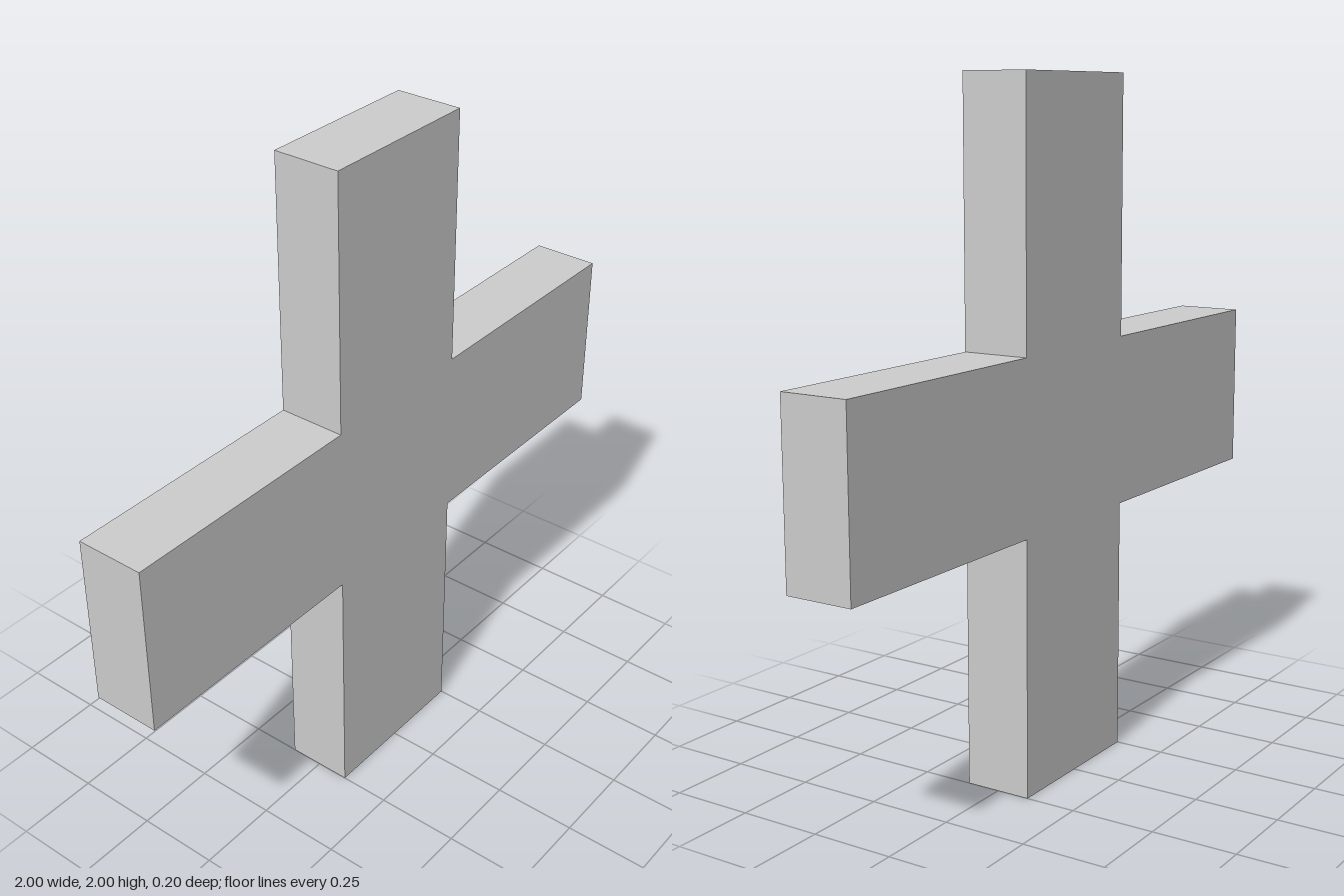
import * as THREE from 'three';

const REACH = 1;        // centre to the end of each arm
const HALF_WIDTH = 0.25; // half the width of an arm
const DEPTH = 0.2;

export function createModel() {
  const group = new THREE.Group();
  group.name = 'plusSign';

  // Outline: the same three corners turned a quarter for each arm
  const corners = [
    [HALF_WIDTH, -HALF_WIDTH],
    [REACH, -HALF_WIDTH],
    [REACH, HALF_WIDTH],
  ];
  const points = [];
  for (let arm = 0; arm < 4; arm++) {
    for (const [x, y] of corners) {
      points.push(new THREE.Vector2(x, y).rotateAround(new THREE.Vector2(), arm * Math.PI / 2));
    }
  }

  // One solid plate, centred in depth and standing on the ground
  const geometry = new THREE.ExtrudeGeometry(new THREE.Shape(points), { depth: DEPTH, bevelEnabled: false });
  geometry.translate(0, REACH, -DEPTH / 2);

  const cross = new THREE.Mesh(geometry, new THREE.MeshStandardMaterial({ color: 0xcccccc, flatShading: true }));
  cross.name = 'crossPlate';
  group.add(cross);
  return group;
}
